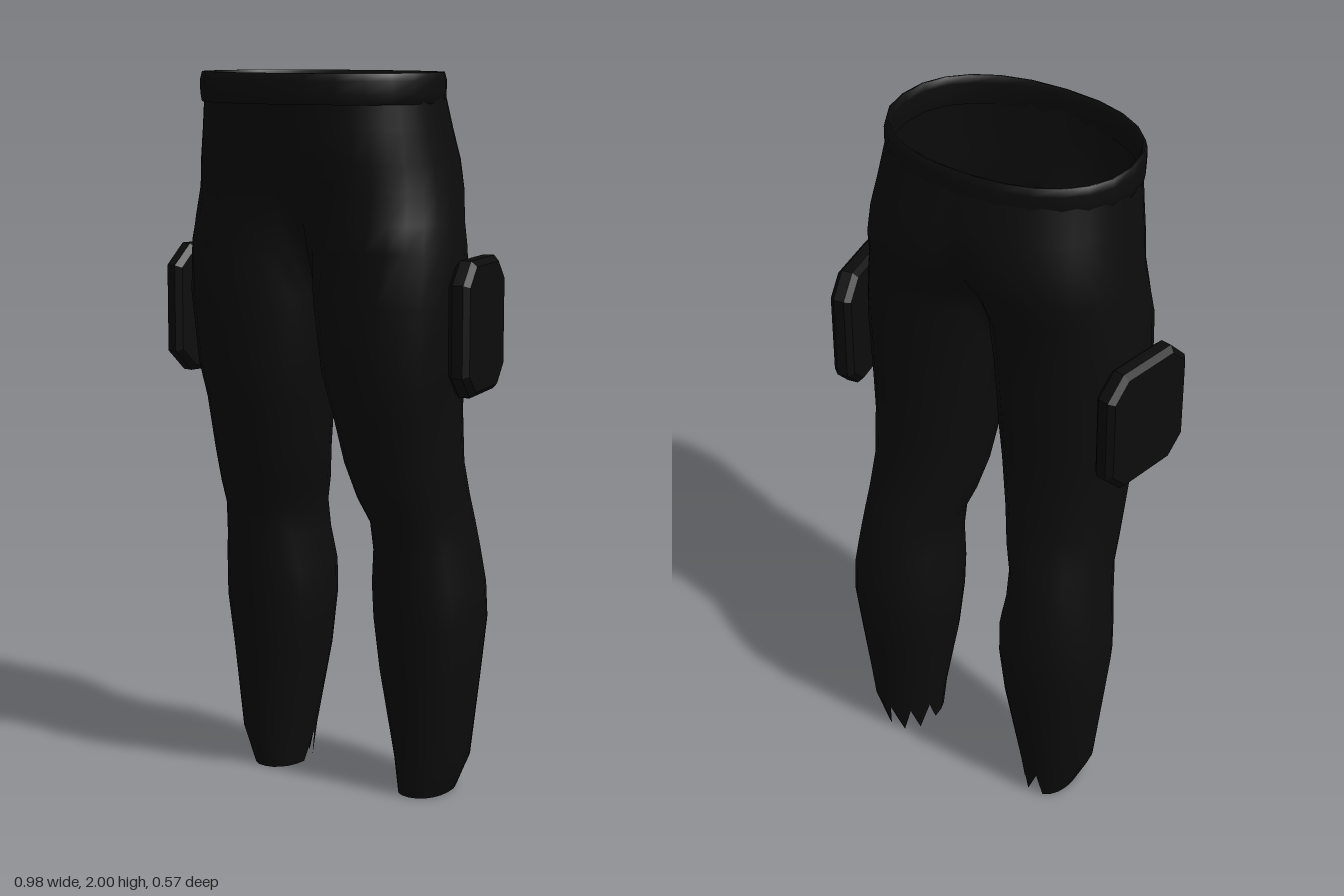
import * as THREE from 'three';
import { mergeVertices } from 'three/addons/utils/BufferGeometryUtils.js';

const COLS = 20;

// One half of the trousers, bottom to top: [y, inner x, outer x, front z, back z].
// A negative inner x means the section is cut open at the body's middle.
const SECTIONS = [
  [0, 0.175, 0.315, -0.03, -0.23],
  [0.1, 0.16, 0.36, -0.02, -0.245],
  [0.35, 0.11, 0.39, 0.0, -0.27],
  [0.5, 0.095, 0.405, 0.02, -0.287],
  [0.6, 0.095, 0.4, 0.03, -0.287],
  [0.7, 0.11, 0.387, 0.042, -0.27],
  [0.78, 0.11, 0.377, 0.058, -0.255],
  [0.85, 0.085, 0.375, 0.09, -0.235],
  [0.95, 0.06, 0.375, 0.12, -0.205],
  [1.1, 0.037, 0.38, 0.157, -0.195],
  [1.2, 0.02, 0.39, 0.19, -0.195],
  [1.4, 0, 0.405, 0.21, -0.195],
  [1.54, -0.02, 0.4, 0.216, -0.197],
  [1.61, -0.05, 0.388, 0.217, -0.207],
  [1.69, -0.1, 0.375, 0.222, -0.24],
  [1.77, -0.16, 0.364, 0.245, -0.248],
  [1.85, -0.24, 0.352, 0.26, -0.235],
  [1.96, -0.338, 0.338, 0.275, -0.215],
];

const soft = (v) => Math.sign(v) * Math.abs(v) ** 0.9;

// Points around a section, from the back middle past the outside to the front middle
function sectionPoints([y, xin, xout, zf, zb]) {
  const cx = (xin + xout) / 2, rx = (xout - xin) / 2;
  const cz = (zf + zb) / 2, rz = (zf - zb) / 2;
  const limit = xin >= 0 ? Math.PI : Math.acos(-((cx / rx) ** (1 / 0.9)));
  return Array.from({ length: COLS + 1 }, (_, j) => {
    const a = limit * ((2 * j) / COLS - 1);
    return new THREE.Vector3(Math.max(0, cx + rx * soft(Math.cos(a))), y, cz + rz * soft(Math.sin(a)));
  });
}

// Grid of points to a smooth, welded surface; mirrored adds the other half
function gridGeometry(rows, mirrored) {
  const pos = [], index = [];
  for (const s of mirrored ? [1, -1] : [1]) {
    const base = pos.length / 3, w = rows[0].length;
    rows.forEach((row) => row.forEach((p) => pos.push(s * p.x, p.y, p.z)));
    for (let i = 0; i < rows.length - 1; i++) {
      for (let j = 0; j < w - 1; j++) {
        const a = base + i * w + j, b = a + w, c = a + 1, d = b + 1;
        if (s > 0) index.push(a, b, c, b, d, c);
        else index.push(a, c, b, b, c, d);
      }
    }
  }
  let g = new THREE.BufferGeometry();
  g.setAttribute('position', new THREE.Float32BufferAttribute(pos, 3));
  g.setIndex(index);
  g = mergeVertices(g, 1e-4);
  g.computeVertexNormals();
  return g;
}

function trousersGeometry() {
  const rows = SECTIONS.map(sectionPoints);
  // Torn hem on the inner back of each ankle
  for (const j of [1, 3, 5]) rows[0][j].lerp(rows[1][j], 0.85);
  return gridGeometry(rows, true);
}

// Thin closed band around the waist
function waistbandGeometry() {
  const profile = [[-0.006, 1.92], [0.006, 1.92], [0.01, 1.945], [0.01, 1.98],
    [0.005, 2], [-0.002, 2], [-0.006, 1.98], [-0.006, 1.92]];
  const rows = profile.map(([o, y]) => Array.from({ length: 25 }, (_, j) => {
    const a = ((j % 24) / 24) * Math.PI * 2;
    return new THREE.Vector3((0.337 + o) * soft(Math.cos(a)), y, 0.034 + (0.244 + o) * soft(Math.sin(a)));
  }));
  return gridGeometry(rows, false);
}

// Slab with cut corners and a bevelled rim, thin along x
function pouchGeometry() {
  const bevel = 0.015, w = 0.15 - bevel, h = 0.18 - bevel, c = 0.05;
  const shape = new THREE.Shape([
    [w, -h + c], [w, h - c], [w - c, h], [-w + c, h],
    [-w, h - c], [-w, -h + c], [-w + c, -h], [w - c, -h],
  ].map(([x, y]) => new THREE.Vector2(x, y)));
  return new THREE.ExtrudeGeometry(shape, {
    depth: 0.03, bevelThickness: bevel, bevelSize: bevel, bevelSegments: 1,
  }).center().rotateY(Math.PI / 2);
}

export function createModel() {
  const group = new THREE.Group();
  group.name = 'trousers';
  const cloth = new THREE.MeshStandardMaterial({ color: 0x0c0c0c, side: THREE.DoubleSide });
  cloth.name = 'black cloth';

  const add = (name, geometry) => {
    const mesh = new THREE.Mesh(geometry, cloth);
    mesh.name = name;
    group.add(mesh);
    return mesh;
  };

  add('legsAndHips', trousersGeometry());
  add('waistband', waistbandGeometry());

  // Thigh pouches, turned to follow the legs
  const pouch = pouchGeometry();
  for (const [name, s] of [['leftPouch', 1], ['rightPouch', -1]]) {
    const mesh = add(name, pouch);
    mesh.position.set(s * 0.437, 1.34, -0.045);
    mesh.rotation.y = s * 0.18;
  }
  return group;
}
